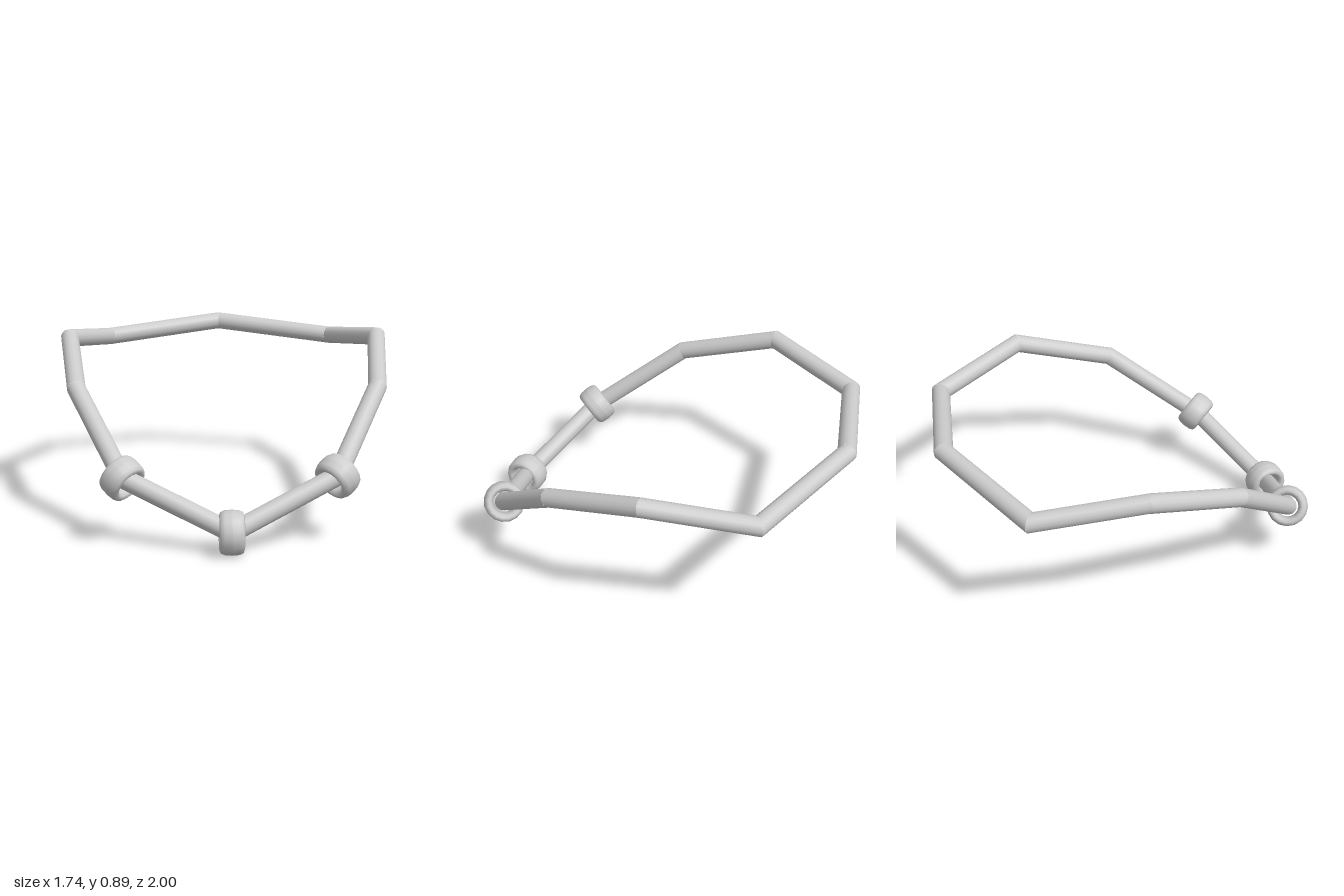
import * as THREE from 'three';

const CORD_RADIUS = 0.047;
const UP = new THREE.Vector3(0, 1, 0);
const material = new THREE.MeshStandardMaterial({ color: 0xcccccc });

// One straight length of cord from a to b, its ends cut on the mitre planes nA and nB
function cordSegment(a, b, nA, nB) {
  const dir = b.clone().sub(a).normalize();
  const geo = new THREE.CylinderGeometry(CORD_RADIUS, CORD_RADIUS, 1, 16, 1, true);
  geo.applyQuaternion(new THREE.Quaternion().setFromUnitVectors(UP, dir));
  const pos = geo.attributes.position;
  const v = new THREE.Vector3();
  for (let i = 0; i < pos.count; i++) {
    v.fromBufferAttribute(pos, i);
    const along = v.dot(dir);
    const [end, n] = along > 0 ? [b, nB] : [a, nA];
    v.addScaledVector(dir, -along);
    v.addScaledVector(dir, -v.dot(n) / dir.dot(n)).add(end);
    pos.setXYZ(i, v.x, v.y, v.z);
  }
  return new THREE.Mesh(geo, material);
}

// Thick rounded ring threaded on the cord, axis along y
function beadGeometry() {
  const profile = [];
  const soft = (t) => Math.sign(t) * Math.pow(Math.abs(t), 0.8);
  for (let i = 0; i <= 12; i++) {
    const a = ((i % 12) / 12) * Math.PI * 2;
    profile.push(new THREE.Vector2(0.082 + 0.025 * soft(Math.cos(a)), 0.059 * soft(Math.sin(a))));
  }
  return new THREE.LatheGeometry(profile, 16);
}

export function createModel() {
  const model = new THREE.Group();
  model.name = 'necklace';

  // Corners of the loop: front, left side, back, then the mirrored right side
  const cx = -0.008;
  const front = new THREE.Vector3(cx, 0.109, 0.89);
  const back = new THREE.Vector3(cx, 0.826, -0.951);
  const side = [
    [0.51, 0.326, 0.71],
    [0.754, 0.67, 0.275],
    [0.823, 0.84, -0.25],
    [0.633, 0.767, -0.757],
  ];
  const shift = [-0.008, -0.003, -0.002, -0.006];
  const place = (s) => side.map(([x, y, z], i) => new THREE.Vector3(s * x + shift[i], y, z));
  const points = [front, ...place(1), back, ...place(-1).reverse()];
  const count = points.length;
  const at = (i) => points[(i + count) % count];

  // Tangent at each corner is the normal of its mitre plane
  const tangents = points.map((p, i) => {
    const before = p.clone().sub(at(i - 1)).normalize();
    const after = at(i + 1).clone().sub(p).normalize();
    return before.add(after).normalize();
  });

  // Cord
  const cord = new THREE.Group();
  cord.name = 'cord';
  points.forEach((p, i) => {
    const seg = cordSegment(p, at(i + 1), tangents[i], tangents[(i + 1) % count]);
    seg.name = 'cordSegment' + (i + 1);
    cord.add(seg);
  });
  model.add(cord);

  // Beads on the three front corners
  const beadGeo = beadGeometry();
  [['frontBead', 0], ['leftBead', 1], ['rightBead', count - 1]].forEach(([name, i]) => {
    const bead = new THREE.Mesh(beadGeo, material);
    bead.name = name;
    bead.position.copy(points[i]);
    bead.quaternion.setFromUnitVectors(UP, tangents[i]);
    model.add(bead);
  });

  return model;
}
